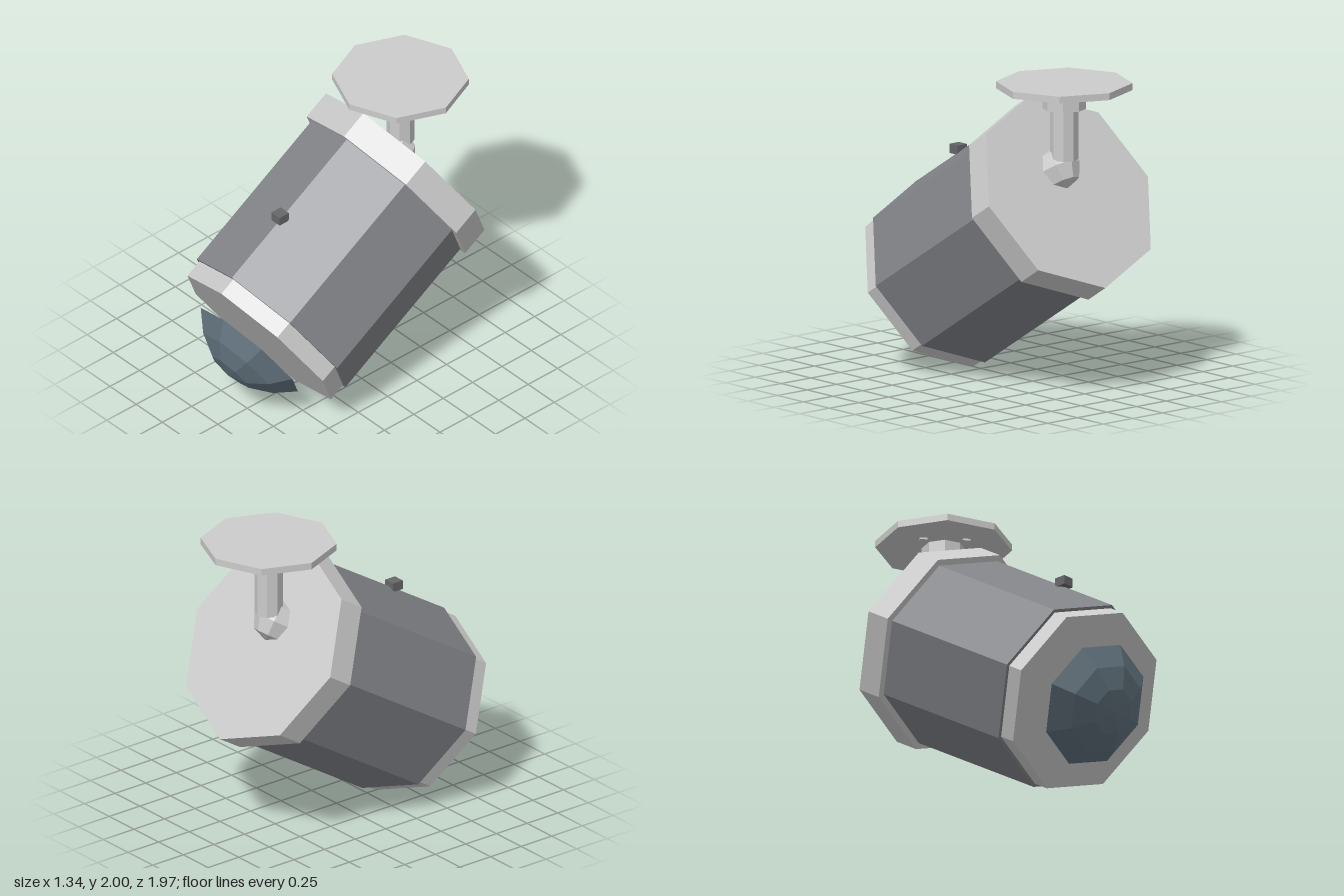
import * as THREE from 'three';

const material = (color) => new THREE.MeshStandardMaterial({ color, flatShading: true });
const grey = material(0xcccccc);
const shellGrey = material(0x828488);
const darkGrey = material(0x666769);
const glass = material(0x62737e);
glass.side = THREE.DoubleSide;

function add(parent, name, geometry, mat, x, y, z) {
  const mesh = new THREE.Mesh(geometry, mat);
  mesh.name = name;
  mesh.position.set(x, y, z);
  parent.add(mesh);
  return mesh;
}

// Octagonal prism along z, between two depths
function barrel(parent, name, radius, zFront, zBack, mat) {
  const geometry = new THREE.CylinderGeometry(radius, radius, zFront - zBack, 8).rotateX(Math.PI / 2);
  return add(parent, name, geometry, mat, 0, 0, (zFront + zBack) / 2);
}

// Upright prism between two heights
function post(parent, name, radius, yLow, yHigh, x, z, sides = 8) {
  const geometry = new THREE.CylinderGeometry(radius, radius, yHigh - yLow, sides);
  return add(parent, name, geometry, grey, x, (yLow + yHigh) / 2, z);
}

export function createModel() {
  const model = new THREE.Group();
  model.name = 'securityCamera';
  const tilt = THREE.MathUtils.degToRad(32);

  // Housing, pitched downwards about the centre of its front face
  const housing = new THREE.Group();
  housing.name = 'housing';
  housing.position.set(0, 0.52, 0.648);
  housing.rotation.x = tilt;
  model.add(housing);
  barrel(housing, 'frontRing', 0.608, 0, -0.12, grey);
  barrel(housing, 'shell', 0.63, -0.12, -1.271, shellGrey);
  barrel(housing, 'backRing', 0.672, -1.271, -1.464, grey);

  // Shallow faceted lens dome, open at the back
  const domeProfile = [[0.412, 0], [0.295, 0.113], [0.154, 0.188], [0, 0.214]]
    .map(([r, h]) => new THREE.Vector2(r, h));
  const dome = new THREE.LatheGeometry(domeProfile, 8).rotateX(Math.PI / 2);
  add(housing, 'lensDome', dome, glass, 0, 0, 0.1);

  // Small indicator block on top of the shell
  add(model, 'indicator', new THREE.BoxGeometry(0.08, 0.06, 0.08), darkGrey, 0, 1.4, 0.47);

  // Ceiling mount
  const mount = new THREE.Group();
  mount.name = 'ceilingMount';
  mount.position.z = -0.553;
  model.add(mount);
  post(mount, 'ceilingPlate', 0.435, 1.955, 2, 0, 0);
  post(mount, 'collar', 0.14, 1.83, 1.955, 0, 0);
  post(mount, 'stem', 0.09, 1.5, 1.83, 0, 0);
  for (let i = 0; i < 4; i++) {
    const a = (i * Math.PI) / 2;
    post(mount, 'screw', 0.035, 1.944, 1.96, 0.195 * Math.sin(a), 0.195 * Math.cos(a), 4);
  }

  // Ball joint, pitched with the housing
  const ball = add(model, 'ballJoint', new THREE.SphereGeometry(0.14, 8, 4), grey, 0, 1.43, -0.505);
  ball.rotation.x = tilt;

  return model;
}
